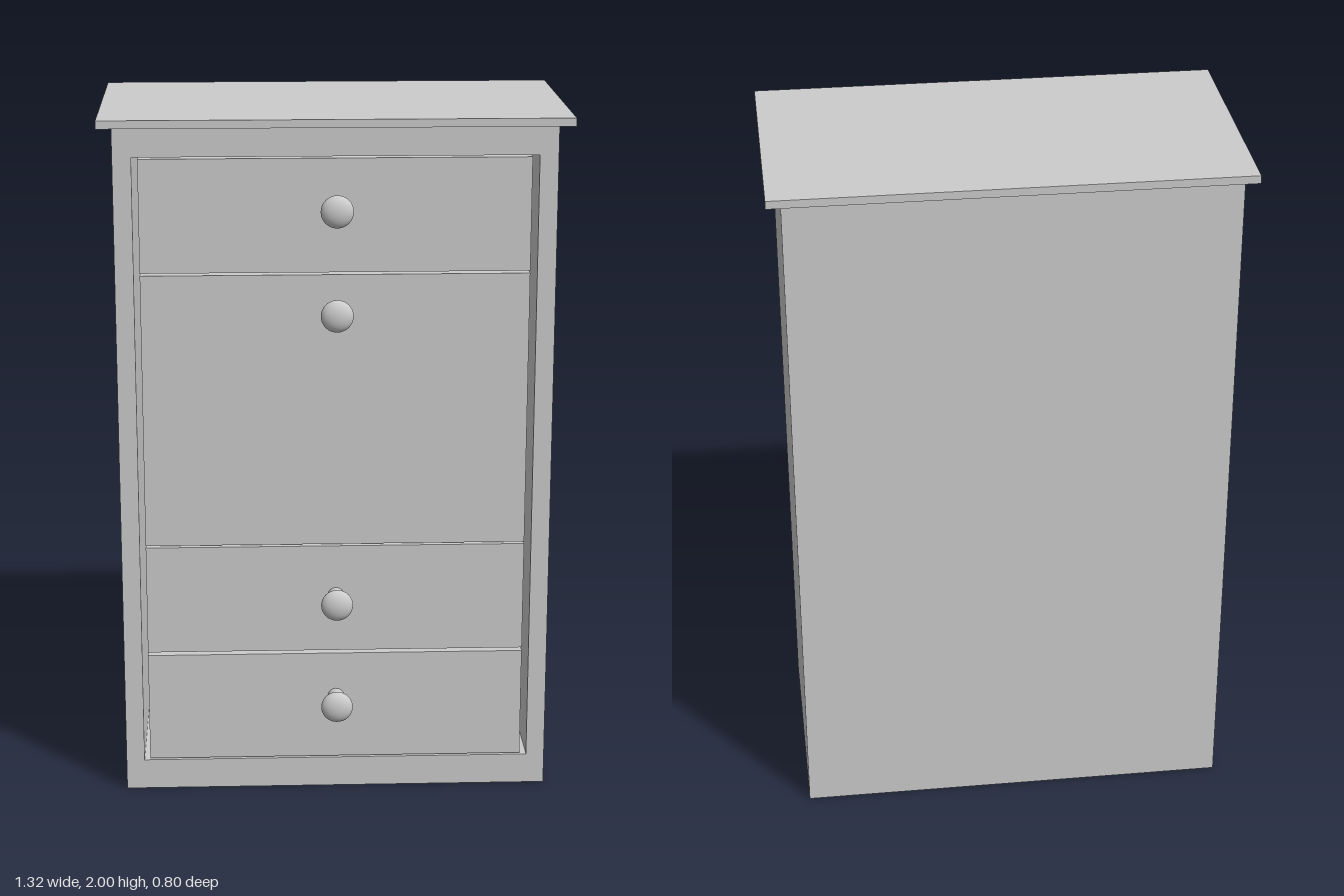
import * as THREE from 'three';

const material = new THREE.MeshStandardMaterial({ color: 0xcccccc });

function add(parent, name, geometry, x = 0, y = 0, z = 0) {
  const mesh = new THREE.Mesh(geometry, material);
  mesh.name = name;
  mesh.position.set(x, y, z);
  parent.add(mesh);
  return mesh;
}

// Box given by its lower and upper corner on each axis
function addBox(parent, name, [x0, x1], [y0, y1], [z0, z1]) {
  return add(parent, name, new THREE.BoxGeometry(x1 - x0, y1 - y0, z1 - z0),
    (x0 + x1) / 2, (y0 + y1) / 2, (z0 + z1) / 2);
}

function rectangle(PathType, x0, y0, x1, y1) {
  return new PathType([[x0, y0], [x1, y0], [x1, y1], [x0, y1]].map(p => new THREE.Vector2(...p)));
}

// Round stem with a flattened ball, pointing to +z
function addKnob(parent, y, face) {
  const knob = new THREE.Group();
  knob.name = 'knob';
  knob.position.set(0, y, face);
  const stem = add(knob, 'knobStem', new THREE.CylinderGeometry(0.024, 0.024, 0.09, 24), 0, 0, 0.04);
  stem.rotation.x = Math.PI / 2;
  const head = new THREE.SphereGeometry(0.046, 32, 20);
  head.rotateX(Math.PI / 2);
  head.scale(1, 1, 0.55);
  add(knob, 'knobHead', head, 0, 0, 0.085);
  parent.add(knob);
}

export function createModel() {
  const model = new THREE.Group();
  model.name = 'chestOfDrawers';
  const back = -0.39, face = 0.29;

  // Carcass: a hollow body, open at the front and closed by a back panel
  const outline = rectangle(THREE.Shape, -0.62, 0, 0.62, 1.975);
  outline.holes.push(rectangle(THREE.Path, -0.567, 0.09, 0.567, 1.89));
  const depth = face - back;
  add(model, 'carcass', new THREE.ExtrudeGeometry(outline, { depth, bevelEnabled: false }), 0, 0, back);
  addBox(model, 'backPanel', [-0.567, 0.567], [0.09, 1.89], [back, back + 0.03]);

  // Overhanging top board
  addBox(model, 'topBoard', [-0.66, 0.66], [1.977, 2], [-0.4, 0.34]);

  // Drawers and the tall door, flush with the carcass, each with a knob
  const fronts = [
    ['bottomDrawer', 0.095, 0.42, 0.285],
    ['lowerDrawer', 0.43, 0.752, 0.6],
    ['door', 0.758, 1.555, 1.455],
    ['topDrawer', 1.562, 1.885, 1.75],
  ];
  for (const [name, bottom, top, knobY] of fronts) {
    const unit = new THREE.Group();
    unit.name = name;
    addBox(unit, name + 'Body', [-0.55, 0.547], [bottom, top], [-0.3, face]);
    addKnob(unit, knobY, face);
    model.add(unit);
  }
  return model;
}
